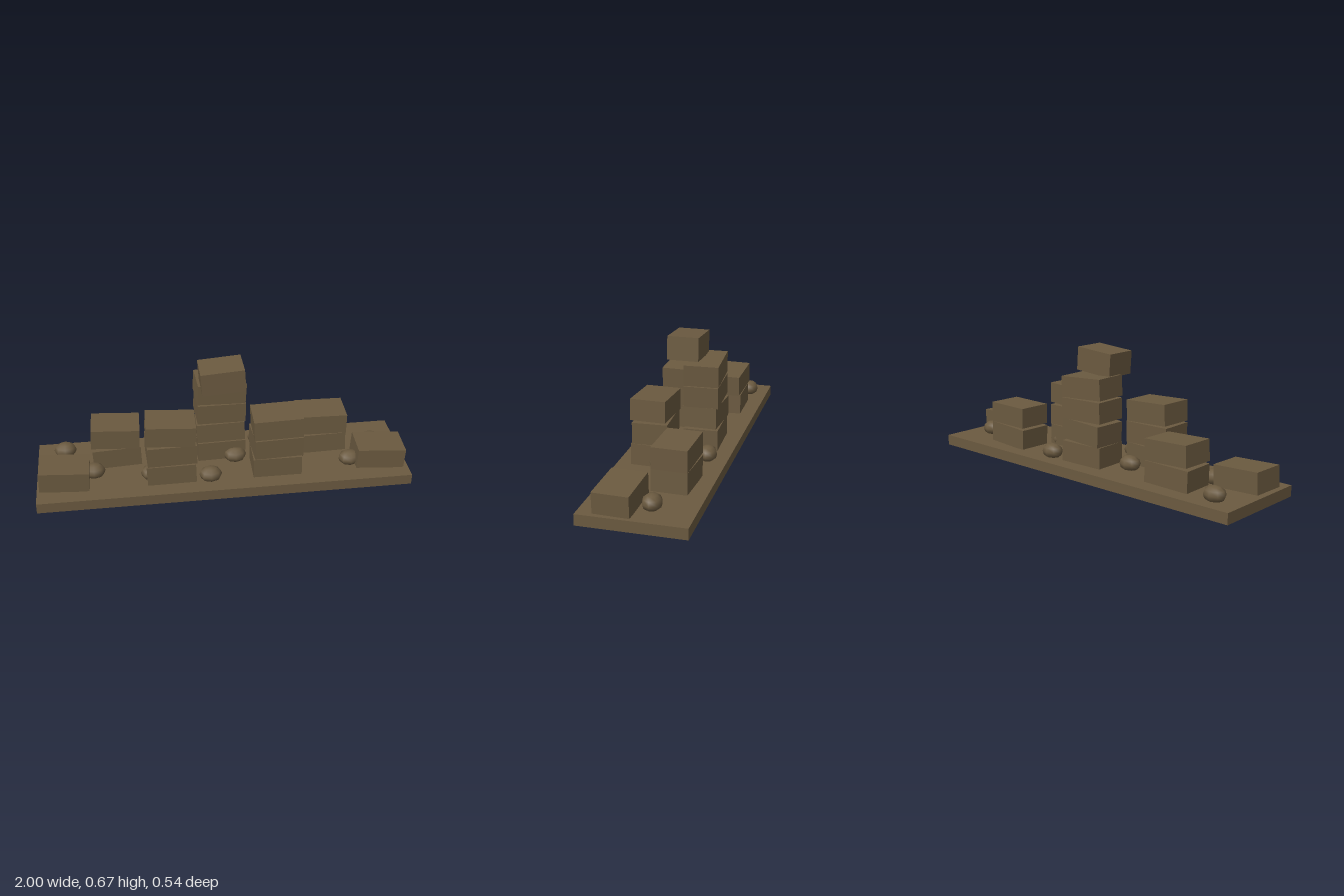
import * as THREE from 'three';

export function createModel() {
  const model = new THREE.Group();
  model.name = 'brickPile';
  const earth = new THREE.MeshStandardMaterial({ color: 0x6b5a40 });
  earth.name = 'earthBrown';

  function add(name, geometry, x, y, z, tilt = 0, yaw = 0) {
    const mesh = new THREE.Mesh(geometry, earth);
    mesh.name = name;
    mesh.position.set(x, y, z);
    mesh.rotation.set(0, yaw, tilt);
    model.add(mesh);
    return mesh;
  }

  // Ground slab
  add('baseSlab', new THREE.BoxGeometry(2, 0.058, 0.542), 0, 0.029, 0);

  // Brick stacks, alternating front and back: [x, z, [[tilt, yaw] per layer]]
  const FRONT = 0.096, BACK = -0.096;
  const stacks = [
    [-0.85, FRONT, [[-0.05, -0.03]]],
    [-0.57, BACK, [[0.03, 0.03], [-0.045, -0.03]]],
    [-0.285, FRONT, [[0.03, -0.03], [0, 0.03], [-0.05, -0.03]]],
    [0, BACK, [[0, 0.03], [0.04, -0.03], [-0.02, 0.03], [-0.05, 0.04]]],
    [0.282, FRONT, [[0.02, -0.03], [0, 0.04], [0.045, -0.03]]],
    [0.565, BACK, [[0.045, -0.03], [0, -0.03]]],
    [0.85, FRONT, [[-0.05, -0.04]]],
  ];
  const brick = new THREE.BoxGeometry(0.26, 0.112, 0.183);
  for (const [x, z, layers] of stacks) {
    layers.forEach(([tilt, yaw], i) => add('brick', brick, x, 0.117 + 0.1185 * i, z, tilt, yaw));
  }

  // Smaller capping brick
  add('topBrick', new THREE.BoxGeometry(0.23, 0.125, 0.167), 0, 0.596, 0, 0.07);

  // Rubble stones scattered between the stacks
  const stone = new THREE.SphereGeometry(1, 8, 6);
  for (let i = 0; i < 12; i++) {
    const z = -0.165 + 0.0542 * ((i * 4) % 7);
    add('stone', stone, -0.85 + 0.1542 * i, 0.088, z).scale.set(0.061, 0.043, 0.05);
  }
  return model;
}
